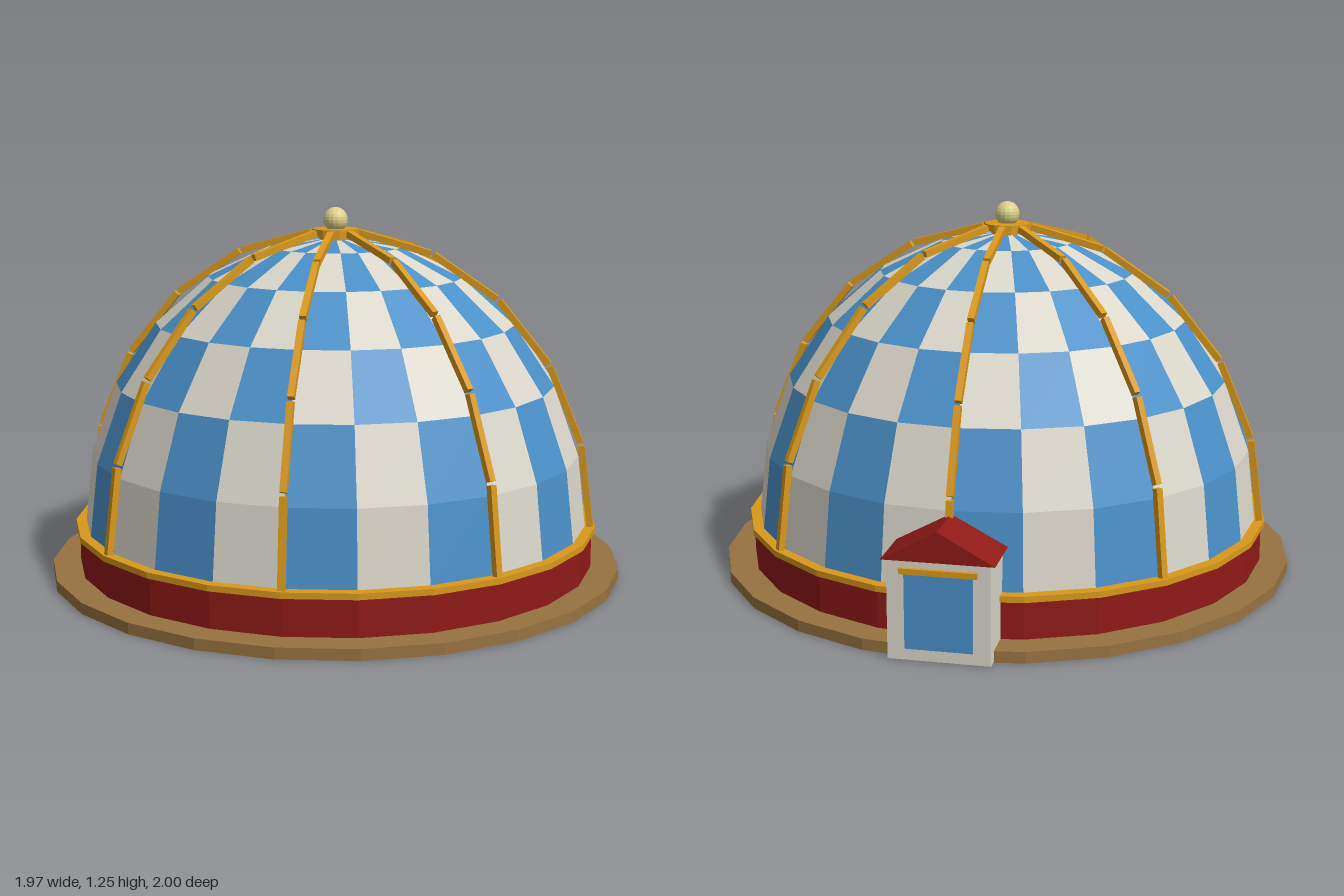
import * as THREE from 'three';

const SIDES = 24;
const paint = (color) => new THREE.MeshStandardMaterial({ color, flatShading: true });
const red = paint(0x8f1a17), gold = paint(0xd9981c), blue = paint(0x4a90c8);
const cream = paint(0xdad6ca), brown = paint(0x987240), pale = paint(0xdccf8a);

function add(parent, name, geometry, material, x = 0, y = 0, z = 0) {
  const mesh = new THREE.Mesh(geometry, material);
  mesh.name = name;
  mesh.position.set(x, y, z);
  parent.add(mesh);
  return mesh;
}

// Upright disc between two heights
function disc(parent, name, radius, y0, y1, material, sides = SIDES) {
  return add(parent, name, new THREE.CylinderGeometry(radius, radius, y1 - y0, sides), material, 0, (y0 + y1) / 2, 0);
}

// Every second panel of the dome; the two lowest rows share one colour
function domePanels(parity, radius, base, height) {
  const rows = 6, verts = [];
  const point = (col, row) => {
    const t = (col / SIDES) * Math.PI * 2, p = (row / rows) * Math.PI / 2;
    const r = radius * Math.cos(p);
    return [r * Math.sin(t), base + height * Math.sin(p), r * Math.cos(t)];
  };
  for (let row = 0; row < rows; row++) {
    for (let col = 0; col < SIDES; col++) {
      if ((col + Math.max(row, 1) + 1) % 2 !== parity) continue;
      const a = point(col, row), b = point(col + 1, row);
      const c = point(col + 1, row + 1), d = point(col, row + 1);
      verts.push(...a, ...b, ...c);
      if (row < rows - 1) verts.push(...a, ...c, ...d);
    }
  }
  const geometry = new THREE.BufferGeometry();
  geometry.setAttribute('position', new THREE.Float32BufferAttribute(verts, 3));
  geometry.computeVertexNormals();
  return geometry;
}

// One rib: five straight bars following the dome's curve
function makeRib(angle) {
  const rib = new THREE.Group();
  rib.name = 'rib';
  rib.rotation.y = angle;
  const at = (i) => {
    const p = THREE.MathUtils.degToRad(17 * i);
    return [0.885 * Math.cos(p), 0.175 + Math.sin(p)];
  };
  for (let i = 0; i < 5; i++) {
    const [z0, y0] = at(i), [z1, y1] = at(i + 1);
    const length = Math.hypot(z1 - z0, y1 - y0) * 0.96;
    const bar = add(rib, 'ribBar', new THREE.BoxGeometry(0.022, length, 0.022), gold, 0, (y0 + y1) / 2, (z0 + z1) / 2);
    bar.rotation.x = Math.atan2(z1 - z0, y1 - y0);
  }
  return rib;
}

// Small gabled entrance at the back
function makeEntrance() {
  const hut = new THREE.Group();
  hut.name = 'entrance';
  add(hut, 'entranceWalls', new THREE.BoxGeometry(0.32, 0.32, 0.2), cream, 0, 0.162, -0.885);
  const gable = new THREE.Shape([
    new THREE.Vector2(-0.175, 0.32),
    new THREE.Vector2(0.175, 0.32),
    new THREE.Vector2(0, 0.417),
  ]);
  const roof = new THREE.ExtrudeGeometry(gable, { depth: 0.187, bevelEnabled: false });
  add(hut, 'entranceRoof', roof, red, 0, 0, -0.997);
  add(hut, 'door', new THREE.BoxGeometry(0.21, 0.24, 0.02), blue, 0, 0.16, -0.982);
  add(hut, 'doorLintel', new THREE.BoxGeometry(0.24, 0.018, 0.025), gold, 0, 0.287, -0.985);
  return hut;
}

export function createModel() {
  const model = new THREE.Group();
  model.name = 'domedTent';

  const tent = new THREE.Group();
  tent.name = 'tent';
  tent.position.z = 0.015;
  model.add(tent);

  // Base, drum and trim
  disc(tent, 'basePlate', 0.985, 0, 0.037, brown);
  disc(tent, 'drum', 0.89, 0.037, 0.162, red);
  disc(tent, 'drumTrim', 0.902, 0.16, 0.18, gold);

  // Chequered dome
  add(tent, 'bluePanels', domePanels(0, 0.868, 0.17, 0.985), blue);
  add(tent, 'creamPanels', domePanels(1, 0.868, 0.17, 0.985), cream);

  // Ribs
  for (let i = 0; i < 8; i++) tent.add(makeRib((i * Math.PI) / 4));

  // Crown and finial
  disc(tent, 'crownHub', 0.055, 1.13, 1.165, gold, 16);
  disc(tent, 'crownPlate', 0.078, 1.16, 1.182, gold, 16);
  add(tent, 'finial', new THREE.SphereGeometry(0.042, 16, 12), pale, 0, 1.213, 0);

  model.add(makeEntrance());
  return model;
}
